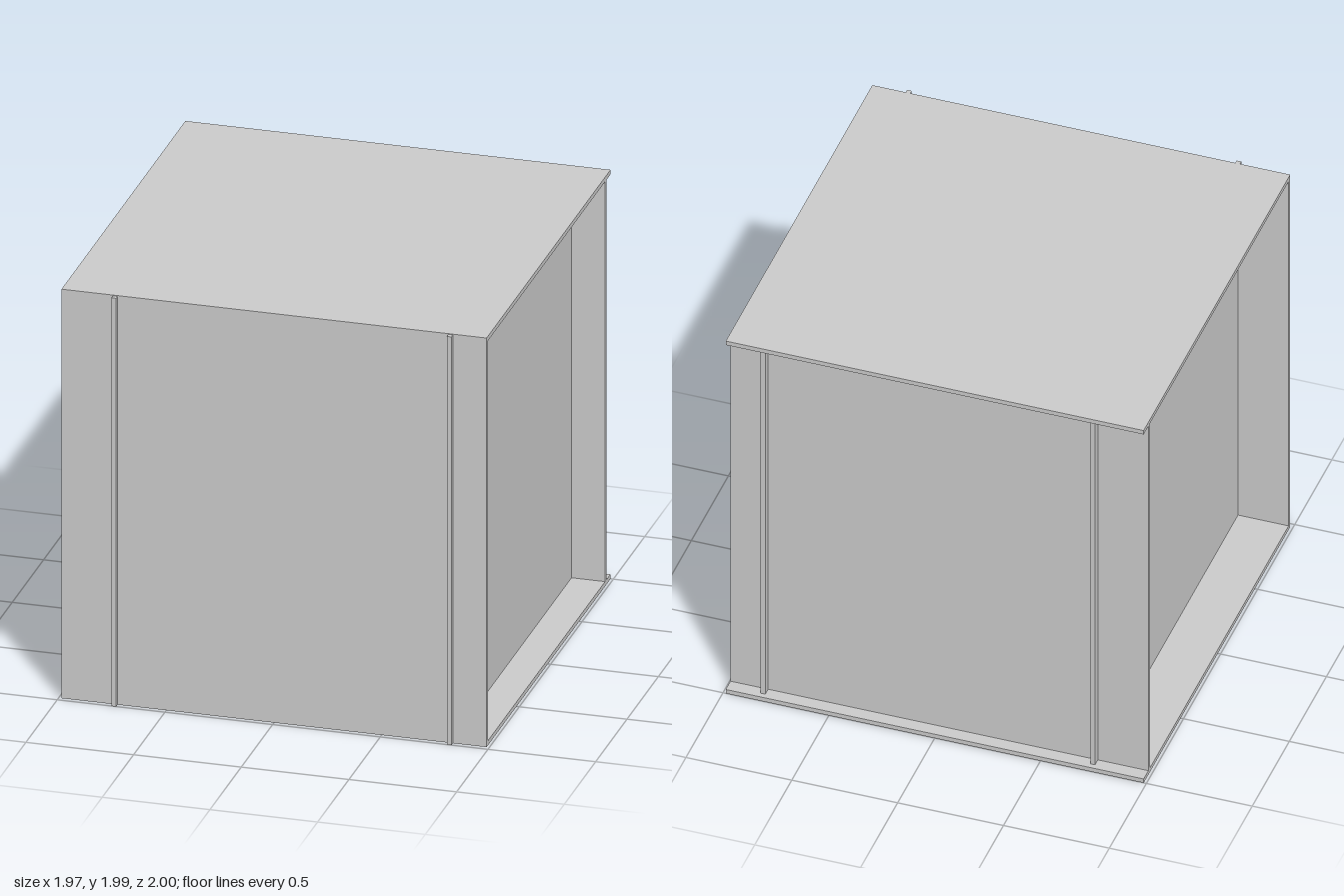
import * as THREE from 'three';

export function createModel() {
  const model = new THREE.Group();
  const material = new THREE.MeshStandardMaterial({ color: 0xcccccc, flatShading: true });

  // Board given by its min and max along each axis
  function board(name, [x0, x1], [y0, y1], [z0, z1]) {
    const mesh = new THREE.Mesh(new THREE.BoxGeometry(x1 - x0, y1 - y0, z1 - z0), material);
    mesh.position.set((x0 + x1) / 2, (y0 + y1) / 2, (z0 + z1) / 2);
    mesh.name = name;
    model.add(mesh);
  }

  const width = [-0.987, 0.987];
  const top = 1.985;
  const t = 0.022; // board thickness
  const front = 0.977;

  // Floor and lid, overhanging at the back
  board('bottomPlate', width, [0, t], [-1, front]);
  board('topPlate', width, [top - t, top], [-1, front]);

  // Front and back boards
  board('frontPanel', width, [0, top], [front - t, front]);
  board('backPanel', width, [0, top], [-0.936, -0.914]);

  // Inset side walls, whose edges pass through the front and back boards as ribs
  board('rightWall', [-0.748, -0.726], [0, top - 0.004], [-0.974, 1]);
  board('leftWall', [0.809, 0.831], [0, top - 0.004], [-0.974, 1]);

  return model;
}
